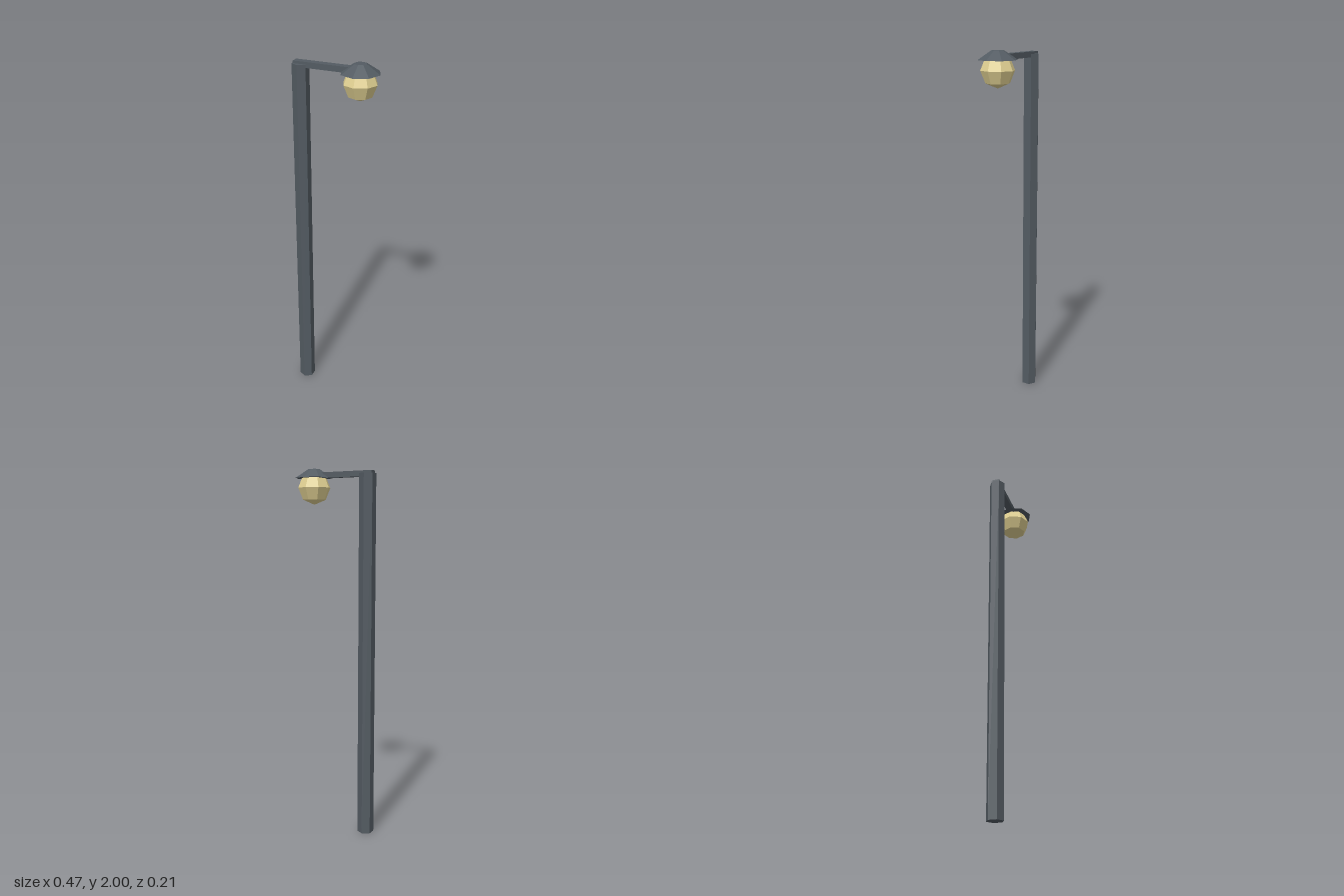
import * as THREE from 'three';

export function createModel() {
  const model = new THREE.Group();
  model.name = 'streetLamp';

  const metal = new THREE.MeshStandardMaterial({ color: 0x535b62, flatShading: true });
  metal.name = 'dark grey metal';
  const glass = new THREE.MeshStandardMaterial({ color: 0xe0d092, flatShading: true });
  glass.name = 'warm yellow glass';

  const add = (name, geometry, material, x, y) => {
    const mesh = new THREE.Mesh(geometry, material);
    mesh.name = name;
    mesh.position.set(x, y, 0);
    model.add(mesh);
  };

  const poleX = -0.196, lampX = 0.13;

  // Hexagonal pole standing on the ground
  const poleHeight = 1.967;
  add('pole', new THREE.CylinderGeometry(0.045, 0.045, poleHeight, 6), metal, poleX, poleHeight / 2);

  // Flat arm from the pole top into the shade
  const armStart = -0.229;
  add('arm', new THREE.BoxGeometry(lampX - armStart, 0.03, 0.04), metal, (armStart + lampX) / 2, 1.965);

  // Eight-sided shade, a truncated cone
  add('shade', new THREE.CylinderGeometry(0.033, 0.104, 0.047, 8), metal, lampX, 1.9765);

  // Faceted globe under the shade
  add('globe', new THREE.SphereGeometry(0.09, 8, 4), glass, lampX, 1.901);

  return model;
}
